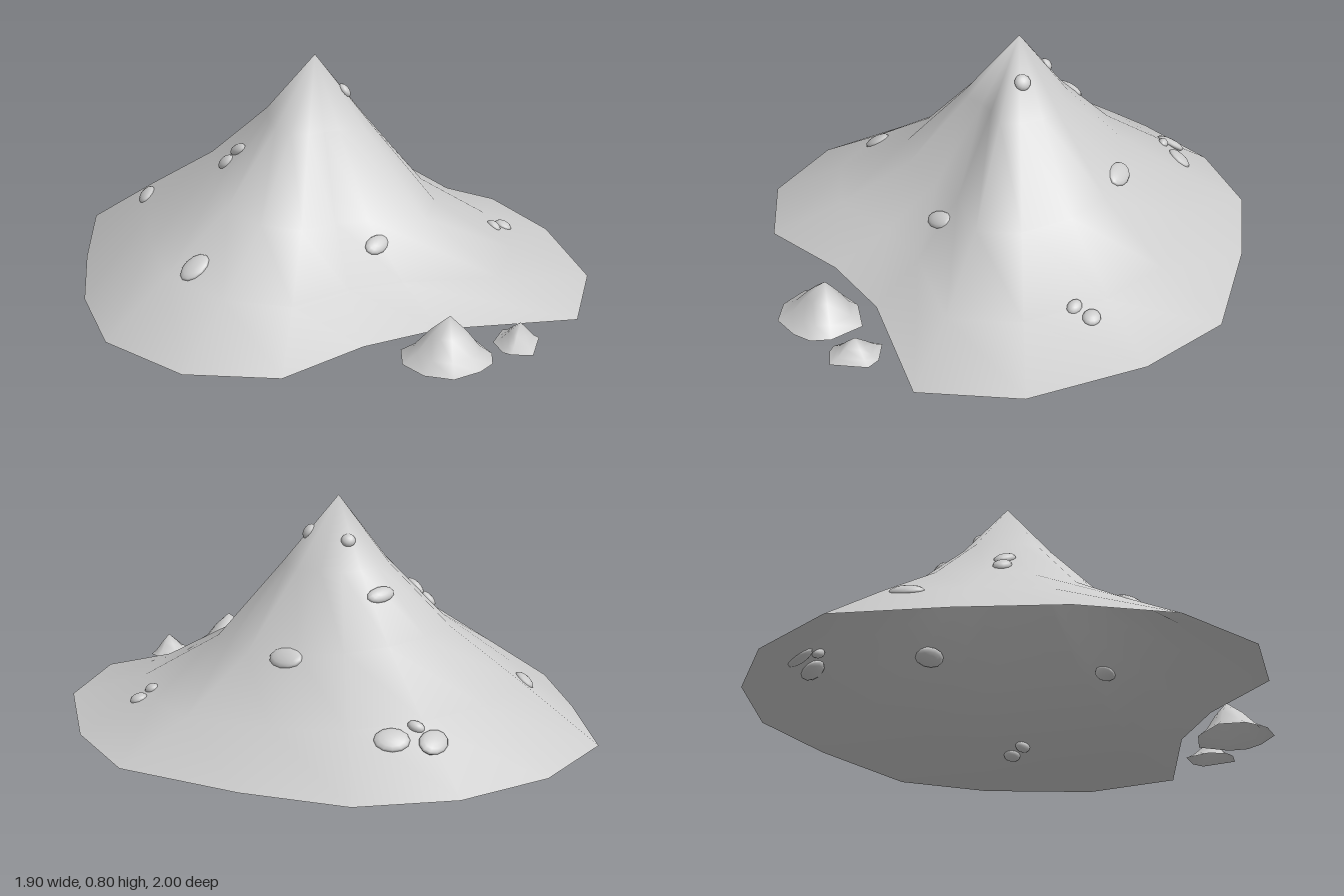
import * as THREE from 'three';

const earth = new THREE.MeshStandardMaterial({ color: 0xcccccc, side: THREE.DoubleSide });
const rock = new THREE.MeshStandardMaterial({ color: 0xcccccc });

// Open-bottomed heap: rings shrink from the ground outline to the apex.
// rings: [fraction of the way out, height, back-to-front tilt, side tilt]
function heap(name, outline, apex, rings) {
  const n = outline.length, pos = [...apex], index = [];
  for (const [t, y, tiltZ, tiltX] of rings) {
    for (const [x, z] of outline) {
      const dx = x - apex[0], dz = z - apex[2], len = Math.hypot(dx, dz);
      pos.push(apex[0] + dx * t, y - (tiltZ * dz + tiltX * dx) / len, apex[2] + dz * t);
    }
  }
  for (let j = 0; j < n; j++) {
    const k = (j + 1) % n;
    index.push(0, 1 + k, 1 + j);
    for (let r = 0; r < rings.length - 1; r++) {
      const a = 1 + r * n, b = a + n;
      index.push(a + j, a + k, b + j, a + k, b + k, b + j);
    }
  }
  const g = new THREE.BufferGeometry();
  g.setAttribute('position', new THREE.Float32BufferAttribute(pos, 3));
  g.setIndex(index);
  g.computeVertexNormals();
  const mesh = new THREE.Mesh(g, earth);
  mesh.name = name;
  return mesh;
}

export function createModel() {
  const model = new THREE.Group();
  model.name = 'dirtMound';

  // Main mound with a bite out of its front edge
  const mound = heap('mound', [
    [0.95, 0], [0.88, 0.35], [0.67, 0.73], [0.37, 0.93], [-0.04, 0.67], [-0.32, 0.59],
    [-0.66, 0.575], [-0.885, 0.345], [-0.95, 0], [-0.83, -0.32], [-0.63, -0.62], [-0.39, -0.93],
    [-0.04, -1], [0.3, -0.93], [0.59, -0.74], [0.78, -0.42],
  ], [0.02, 0.8, -0.05], [
    [0.2, 0.56, 0.01, 0.005], [0.44, 0.31, 0.05, 0.018], [0.72, 0.138, 0.043, 0.022], [1, 0, 0, 0],
  ]);
  model.add(mound);

  // Two little heaps in front
  model.add(heap('largeHeap', [
    [0, 0.78], [-0.03, 0.9], [-0.08, 0.95], [-0.15, 0.96], [-0.25, 0.94], [-0.305, 0.86],
    [-0.305, 0.76], [-0.24, 0.685], [-0.1, 0.7],
  ], [-0.14, 0.14, 0.81], [[0.4, 0.085, 0, 0], [0.7, 0.03, 0, 0], [1, 0, 0, 0]]));
  model.add(heap('smallHeap', [
    [0.17, 0.93], [0.06, 1], [0.01, 0.95], [0, 0.92], [0.03, 0.85], [0.12, 0.81], [0.17, 0.88],
  ], [0.095, 0.075, 0.91], [[0.4, 0.043, 0, 0], [0.7, 0.016, 0, 0], [1, 0, 0, 0]]));

  // Flat stones half buried in the slope: x, z, half length, half width, yaw
  const stones = [
    [0.24, -0.75, 0.058, 0.045, 0.2], [0.34, -0.66, 0.06, 0.046, -0.7], [0.25, -0.68, 0.02, 0.03, 0.4],
    [-0.34, -0.63, 0.058, 0.036, 0.9], [-0.255, -0.23, 0.03, 0.038, 0.3], [-0.22, -0.2, 0.025, 0.045, 0.1],
    [0.06, -0.31, 0.055, 0.03, -0.1], [0.065, -0.15, 0.026, 0.025, -0.4], [0.38, -0.18, 0.042, 0.066, 0.25],
    [0.095, 0.025, 0.03, 0.03, 0.6], [-0.61, 0.05, 0.06, 0.042, 0], [-0.03, 0.34, 0.052, 0.034, 0.15],
    [0.575, 0.345, 0.024, 0.031, 0], [0.64, 0.335, 0.031, 0.034, 0],
  ];
  const pebble = new THREE.SphereGeometry(1, 12, 8);
  const up = new THREE.Vector3(0, 1, 0), ray = new THREE.Raycaster();
  mound.updateMatrixWorld();
  const group = new THREE.Group();
  group.name = 'stones';
  for (const [x, z, a, b, yaw] of stones) {
    ray.set(new THREE.Vector3(x, 2, z), new THREE.Vector3(0, -1, 0));
    const hit = ray.intersectObject(mound)[0];
    const normal = hit.face.normal.clone();
    if (normal.y < 0) normal.negate();
    const stone = new THREE.Mesh(pebble, rock);
    stone.name = 'stone';
    stone.position.copy(hit.point);
    stone.scale.set(a, 0.018, b);
    stone.quaternion.setFromUnitVectors(up, normal)
      .multiply(new THREE.Quaternion().setFromAxisAngle(up, yaw));
    group.add(stone);
  }
  model.add(group);
  return model;
}
